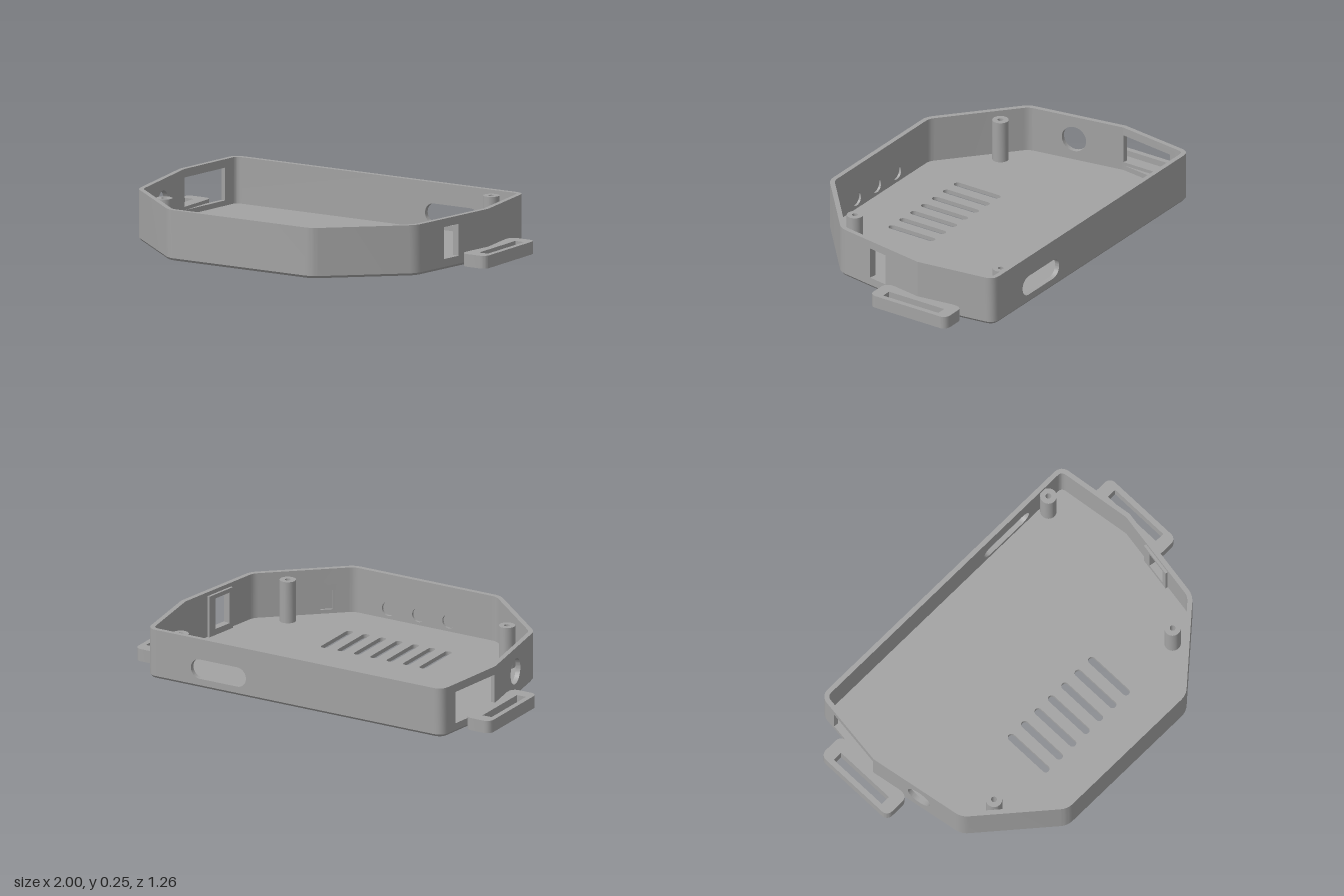
import * as THREE from 'three';
import { mergeGeometries, toCreasedNormals } from 'three/addons/utils/BufferGeometryUtils.js';

const WALL = 0.024, FLOOR = 0.02, HEIGHT = 0.25, CHAMFER = 0.012, CREASE = 0.25;

// Rectangle outline, with optional rounded corners (r = w / 2 gives a circle or slot)
function outline(Type, cx, cy, w, h, r = 0) {
  const p = new Type(), x = w / 2, y = h / 2;
  if (r === 0) {
    p.moveTo(cx - x, cy - y);
    p.lineTo(cx + x, cy - y);
    p.lineTo(cx + x, cy + y);
    p.lineTo(cx - x, cy + y);
  } else {
    [[1, 1], [-1, 1], [-1, -1], [1, -1]].forEach(([sx, sy], i) =>
      p.absarc(cx + sx * (x - r), cy + sy * (y - r), r, i * Math.PI / 2, (i + 1) * Math.PI / 2));
  }
  p.closePath();
  return p;
}

// Plan of the case as (x, z) corners with the length each corner is rounded over
const half = [[0.83, -0.632, 0.05], [0.885, -0.22, 0], [0.8, 0.29, 0.035], [0.41, 0.628, 0.035]];
const corners = [...half, ...half.map(([x, z, c]) => [-x, z, c]).reverse()];

function planPoints() {
  const points = [], n = corners.length;
  corners.forEach(([x, z, cut], k) => {
    const c = new THREE.Vector2(x, z);
    if (cut > 0) {
      const towards = ([ox, oz]) => new THREE.Vector2(ox, oz).sub(c).setLength(cut).add(c);
      const curve = new THREE.QuadraticBezierCurve(
        towards(corners[(k + n - 1) % n]), c, towards(corners[(k + 1) % n]));
      points.push(...curve.getPoints(8).map(p => ({ p, side: -1 })));
    } else {
      points.push({ p: c, side: -1 });
    }
    points[points.length - 1].side = k; // the straight side that starts here
  });
  return points;
}

export function createModel() {
  const model = new THREE.Group();
  const grey = new THREE.MeshStandardMaterial({ color: 0xa3a3a3 });
  grey.name = 'grey plastic';

  function add(name, geometry) {
    const mesh = new THREE.Mesh(toCreasedNormals(geometry, CREASE), grey);
    mesh.name = name;
    model.add(mesh);
    return mesh;
  }

  const plan = planPoints(), count = plan.length;
  const edges = plan.map(({ p, side }, i) => {
    const dir = plan[(i + 1) % count].p.clone().sub(p);
    const length = dir.length();
    dir.normalize();
    return { p, side, dir, length, inward: new THREE.Vector2(-dir.y, dir.x) };
  });

  // Mitred plan point at a depth inside the outer face
  function mitre(i, d) {
    const a = edges[(i + count - 1) % count].inward, b = edges[i % count].inward;
    return edges[i % count].p.clone().add(a.clone().add(b).multiplyScalar(d / (1 + a.dot(b))));
  }

  // Wall piece on one edge, from depth d0 to d1, with mitred ends
  function panel(i, d0, d1, y0, y1, holes = [], s0 = 0, s1 = edges[i].length, chamfer = 0) {
    const e = edges[i];
    const shape = outline(THREE.Shape, (s0 + s1) / 2, (y0 + y1) / 2, s1 - s0, y1 - y0);
    shape.holes = holes;
    const source = new THREE.ExtrudeGeometry(shape, { depth: d1 - d0, bevelEnabled: false, curveSegments: 8 })
      .getAttribute('position');
    const near = (a, b) => Math.abs(a - b) < 1e-5;
    const out = [];
    for (let t = 0; t < source.count; t += 3) {
      const tri = [0, 1, 2].map(j => new THREE.Vector3().fromBufferAttribute(source, t + j));
      // Skip the joints between neighbouring pieces
      if (tri.every(v => near(v.x, 0)) || tri.every(v => near(v.x, e.length))
        || tri.every(v => near(v.y, CHAMFER))) continue;
      for (const v of tri) {
        const d = d0 + v.z + (near(v.y, 0) && near(v.z, 0) ? chamfer : 0);
        const q = near(v.x, 0) ? mitre(i, d) : near(v.x, e.length) ? mitre(i + 1, d)
          : e.p.clone().addScaledVector(e.dir, v.x).addScaledVector(e.inward, d);
        out.push(q.x, v.y, q.y);
      }
    }
    return new THREE.BufferGeometry().setAttribute('position', new THREE.Float32BufferAttribute(out, 3));
  }

  const edgeOf = side => edges.findIndex(e => e.side === side);
  const alongX = (side, x) => { const e = edges[edgeOf(side)]; return (x - e.p.x) / e.dir.x; };
  const alongZ = (side, z) => { const e = edges[edgeOf(side)]; return (z - e.p.y) / e.dir.y; };
  const hole = (...a) => outline(THREE.Path, ...a);

  // Openings right through the walls, by side
  const leftPort = () => hole(alongZ(1, 0.043), 0.13, 0.106, 0.158);
  const openings = {
    1: [leftPort()],
    5: [hole(alongZ(5, 0.043), 0.13, 0.13, 0.13, 0.065)],
    6: [hole((alongZ(6, -0.225) + alongZ(6, -0.53)) / 2, 0.127, 0.305, 0.162)],
    7: [hole(alongX(7, 0.43), 0.095, 0.31, 0.1, 0.0499)],
  };
  // Shallow pockets in the inner faces, by side
  const pockets = {
    2: [hole(alongX(2, 0.52), 0.09, 0.06, 0.1)],
    3: [0.21, 0.04, -0.13].map(x => hole(alongX(3, x), 0.07, 0.07, 0.07, 0.035)),
  };

  // Walls with a chamfered foot
  const walls = [];
  edges.forEach((e, i) => {
    walls.push(panel(i, 0, WALL, 0, CHAMFER, [], 0, e.length, CHAMFER * 0.8));
    if (pockets[e.side]) {
      walls.push(panel(i, 0, WALL / 2, CHAMFER, HEIGHT));
      walls.push(panel(i, WALL / 2, WALL, CHAMFER, HEIGHT, pockets[e.side]));
    } else {
      walls.push(panel(i, 0, WALL, CHAMFER, HEIGHT, openings[e.side]));
    }
  });
  add('walls', mergeGeometries(walls));

  // Frame inside the left port
  add('portFrame', panel(edgeOf(1), WALL, WALL + 0.013, FLOOR, 0.23, [leftPort()],
    alongZ(1, -0.055), alongZ(1, 0.12)));

  // Floor with seven vent slots
  const floor = new THREE.Shape(edges.map((e, i) => mitre(i, WALL)).map(q => new THREE.Vector2(q.x, -q.y)));
  for (let i = -3; i <= 3; i++) floor.holes.push(hole(i * 0.0925, -0.234, 0.037, 0.268, 0.0184));
  add('floor', new THREE.ExtrudeGeometry(floor, { depth: FLOOR, bevelEnabled: false, curveSegments: 8 })
    .rotateX(-Math.PI / 2));

  // Screw posts
  const profile = [[0.04, FLOOR], [0.04, 0.232], [0.014, 0.232], [0.014, FLOOR]]
    .map(([r, y]) => new THREE.Vector2(r, y));
  for (const [x, z] of [[0.68, -0.57], [0.615, 0.335], [-0.62, 0.335]]) {
    add('screwPost', new THREE.LatheGeometry(profile, 32)).position.set(x, 0, z);
  }
  // Web joining the rear post to the back wall
  add('postWeb', new THREE.BoxGeometry(0.04, 0.21, 0.014)).position.set(0.68, 0.125, -0.605);

  // Strap lugs
  for (const side of [-1, 1]) {
    const lug = outline(THREE.Shape, side * 0.93, 0.242, 0.14, 0.45, 0.035);
    lug.holes.push(hole(side * 0.948, 0.242, 0.05, 0.325));
    add(side > 0 ? 'leftStrapLug' : 'rightStrapLug',
      new THREE.ExtrudeGeometry(lug, { depth: 0.063, bevelEnabled: false, curveSegments: 8 })
        .rotateX(-Math.PI / 2));
  }
  return model;
}
